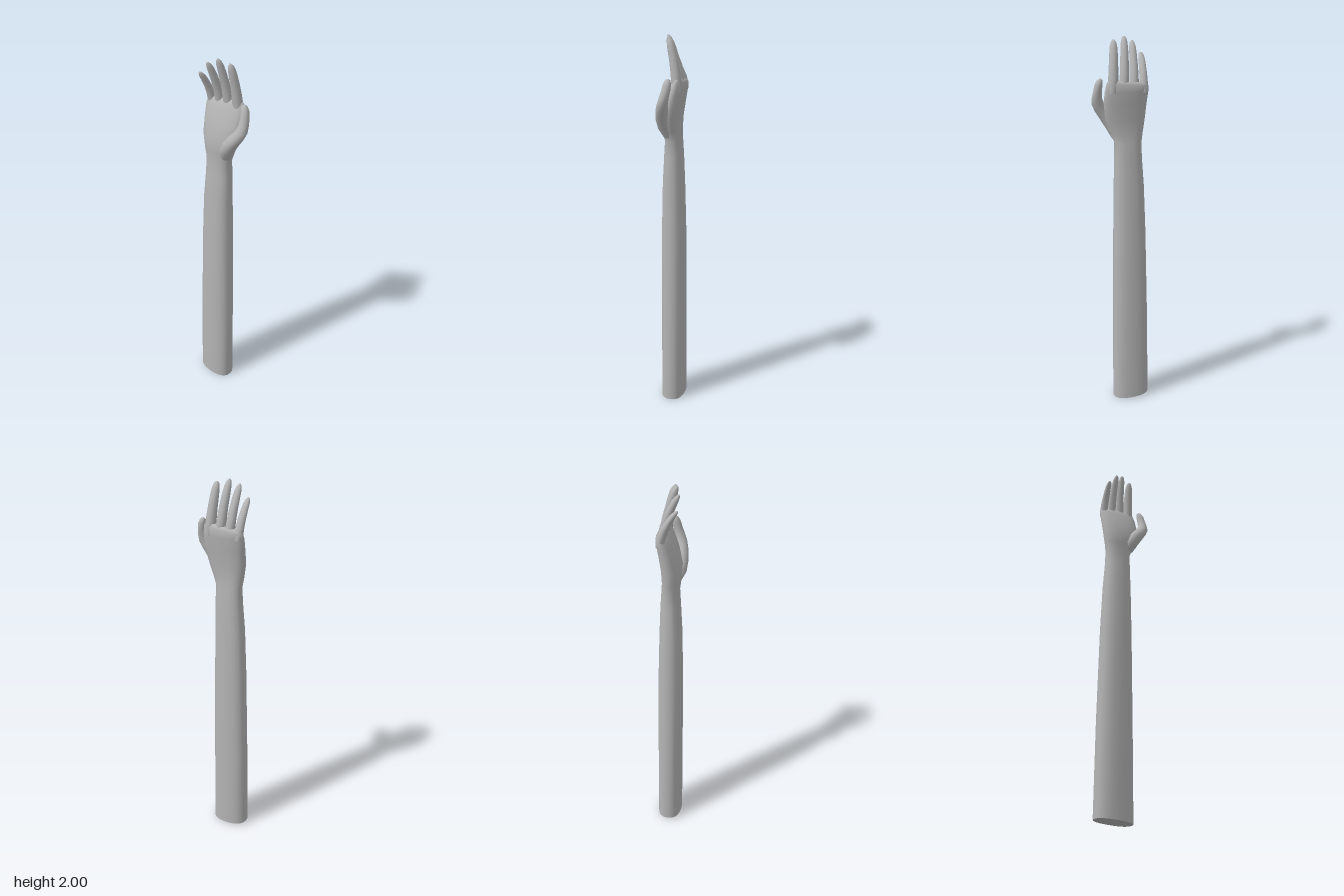
import * as THREE from 'three';

// Smooth skin through level oval rings [x, y, z, radiusX, radiusZ]; slant tilts a ring along z.
function loft(rings, sides, power = 1, slant = () => 0) {
  const pos = [], idx = [];
  for (const [x, y, z, rx, rz] of rings) {
    for (let j = 0; j < sides; j++) {
      const a = (j / sides) * Math.PI * 2;
      const c = Math.cos(a), s = Math.sin(a);
      const dz = rz * Math.sign(s) * Math.abs(s) ** power;
      pos.push(x + rx * Math.sign(c) * Math.abs(c) ** power, y + slant(y) * dz, z + dz);
    }
  }
  for (let i = 0; i < rings.length - 1; i++) {
    for (let j = 0; j < sides; j++) {
      const a = i * sides + j, b = i * sides + (j + 1) % sides;
      idx.push(a, a + sides, b, b, a + sides, b + sides);
    }
  }
  // top cap
  const last = rings[rings.length - 1], top = (rings.length - 1) * sides, n = pos.length / 3;
  pos.push(last[0], last[1], last[2]);
  for (let j = 0; j < sides; j++) idx.push(top + j, n, top + (j + 1) % sides);
  const g = new THREE.BufferGeometry();
  g.setAttribute('position', new THREE.Float32BufferAttribute(pos, 3));
  g.setIndex(idx);
  g.computeVertexNormals();
  return g;
}

export function createModel() {
  const model = new THREE.Group();
  const skin = new THREE.MeshStandardMaterial({ color: 0xb4b4b4 });
  const add = (name, geometry) => {
    const mesh = new THREE.Mesh(geometry, skin);
    mesh.name = name;
    model.add(mesh);
  };

  // Forearm, wrist and palm in one skin; the cut at the bottom slopes
  const slant = (y) => (y < 0.1 ? -0.075 : y > 1.75 ? 0.08 : 0);
  const armRings = [
    [-0.002, 0.0125, -0.05, 0.065, 0.1],
    [-0.002, 0.5, -0.046, 0.064, 0.095],
    [-0.002, 1.0, -0.04, 0.061, 0.086],
    [-0.002, 1.25, -0.036, 0.055, 0.079],
    [0, 1.4, -0.031, 0.048, 0.072],
    [0, 1.48, -0.03, 0.043, 0.07],
    [-0.004, 1.53, -0.024, 0.044, 0.084],
    [-0.003, 1.6, -0.016, 0.047, 0.102],
    [0.013, 1.68, -0.013, 0.042, 0.11],
    [0.028, 1.74, -0.016, 0.035, 0.111],
    [0.037, 1.775, -0.019, 0.027, 0.106],
    [0.038, 1.79, -0.02, 0.015, 0.097],
  ];
  add('forearmAndPalm', loft(armRings, 20, 0.85, slant));

  // Sloping cut face at the elbow end
  const cut = loft([armRings[0]], 20, 0.85, slant);
  cut.setIndex(Array.from(cut.index.array).reverse());
  cut.computeVertexNormals();
  add('armCutFace', cut);

  // Fingers curling towards the palm: base z, tip [x, y, z], base radius
  const fingers = [
    ['indexFinger', 0.056, [-0.006, 1.985, 0.042], 0.028],
    ['middleFinger', 0.0, [-0.025, 2.0, -0.015], 0.026],
    ['ringFinger', -0.052, [-0.043, 1.978, -0.06], 0.025],
    ['littleFinger', -0.101, [-0.045, 1.92, -0.106], 0.023],
  ];
  const steps = [[0, 0.9], [0.15, 1], [0.35, 0.95], [0.55, 0.88], [0.75, 0.8], [0.88, 0.7], [0.96, 0.5], [1, 0.2]];
  for (const [name, z0, tip, r] of fingers) {
    const rings = steps.map(([t, s]) => [
      0.037 + (tip[0] - 0.037) * t ** 1.7,
      1.735 + (tip[1] - 1.735) * t,
      z0 + (tip[2] - z0) * t,
      r * s * 0.95, r * s * 0.95,
    ]);
    add(name, loft(rings, 12));
  }

  // Thumb growing out of the heel of the palm
  add('thumb', loft([
    [-0.012, 1.5, 0.02, 0.025, 0.03],
    [-0.028, 1.55, 0.04, 0.035, 0.038],
    [-0.033, 1.6, 0.066, 0.034, 0.043],
    [-0.028, 1.64, 0.095, 0.031, 0.04],
    [-0.02, 1.675, 0.119, 0.028, 0.032],
    [-0.01, 1.71, 0.126, 0.025, 0.025],
    [0, 1.745, 0.124, 0.023, 0.021],
    [0.005, 1.775, 0.12, 0.021, 0.02],
    [0.008, 1.796, 0.115, 0.014, 0.014],
    [0.008, 1.803, 0.113, 0.005, 0.005],
  ], 14));

  return model;
}
